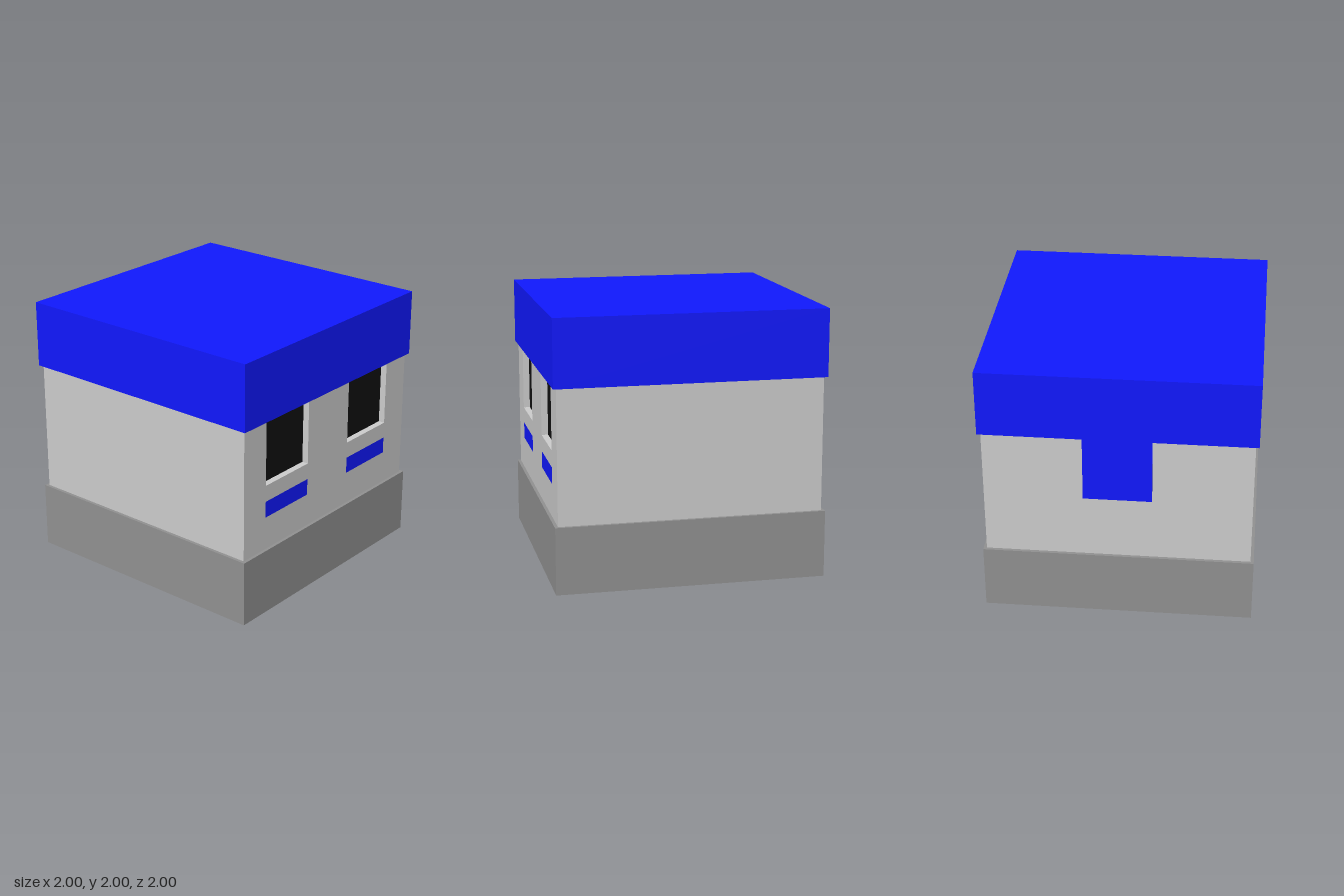
import * as THREE from 'three';

const BODY = 0.976;          // half width of the body
const CORE_FRONT = 0.92;     // where the front wall panel begins
const EYE = { x0: 0.244, x1: 0.732, y0: 1.0, y1: 1.5 };
const CHEEK = { x0: 0.244, x1: 0.732, y0: 0.75, y1: 0.875 };

const material = (color) => new THREE.MeshStandardMaterial({ color });

// Box given by its lower and upper corners
function box(name, mat, [x0, y0, z0], [x1, y1, z1]) {
  const geometry = new THREE.BoxGeometry(x1 - x0, y1 - y0, z1 - z0);
  geometry.translate((x0 + x1) / 2, (y0 + y1) / 2, (z0 + z1) / 2);
  const mesh = new THREE.Mesh(geometry, mat);
  mesh.name = name;
  return mesh;
}

export function createModel() {
  const grey = material(0xcccccc);
  const darkGrey = material(0x909090);
  const blue = material(0x1018fd);
  const black = material(0x101010);

  const model = new THREE.Group();
  model.name = 'blockHead';

  // Base slab and body core
  model.add(box('base', darkGrey, [-1, 0, -1], [1, 0.5, 1]));
  model.add(box('body', grey, [-BODY, 0.5, -BODY], [BODY, 1.5, CORE_FRONT]));

  // Front wall: eye notches open at the top, slots for the cheek inlays
  const wall = new THREE.Shape();
  wall.moveTo(-BODY, 0.5).lineTo(BODY, 0.5).lineTo(BODY, EYE.y1);
  for (const [a, b] of [[EYE.x1, EYE.x0], [-EYE.x0, -EYE.x1]]) {
    wall.lineTo(a, EYE.y1).lineTo(a, EYE.y0).lineTo(b, EYE.y0).lineTo(b, EYE.y1);
  }
  wall.lineTo(-BODY, EYE.y1).closePath();

  for (const side of [1, -1]) {
    const label = side > 0 ? 'left' : 'right';
    const [x0, x1] = side > 0 ? [EYE.x0, EYE.x1] : [-EYE.x1, -EYE.x0];

    const slot = new THREE.Path();
    slot.moveTo(x0, CHEEK.y0).lineTo(x0, CHEEK.y1).lineTo(x1, CHEEK.y1).lineTo(x1, CHEEK.y0).closePath();
    wall.holes.push(slot);

    // Recessed eye and flush cheek mark
    model.add(box(label + 'Eye', black, [x0, EYE.y0, CORE_FRONT], [x1, EYE.y1, 0.927]));
    model.add(box(label + 'Cheek', blue, [x0, CHEEK.y0, CORE_FRONT], [x1, CHEEK.y1, BODY]));
  }

  const wallGeometry = new THREE.ExtrudeGeometry(wall, { depth: BODY - CORE_FRONT, bevelEnabled: false });
  wallGeometry.translate(0, 0, CORE_FRONT);
  const frontWall = new THREE.Mesh(wallGeometry, grey);
  frontWall.name = 'frontWall';
  model.add(frontWall);

  // Cap with a flap hanging down the back
  model.add(box('cap', blue, [-1, 1.5, -1], [1, 2, 1]));
  model.add(box('backFlap', blue, [-0.25, 1, -1], [0.25, 1.5, -BODY]));

  return model;
}
